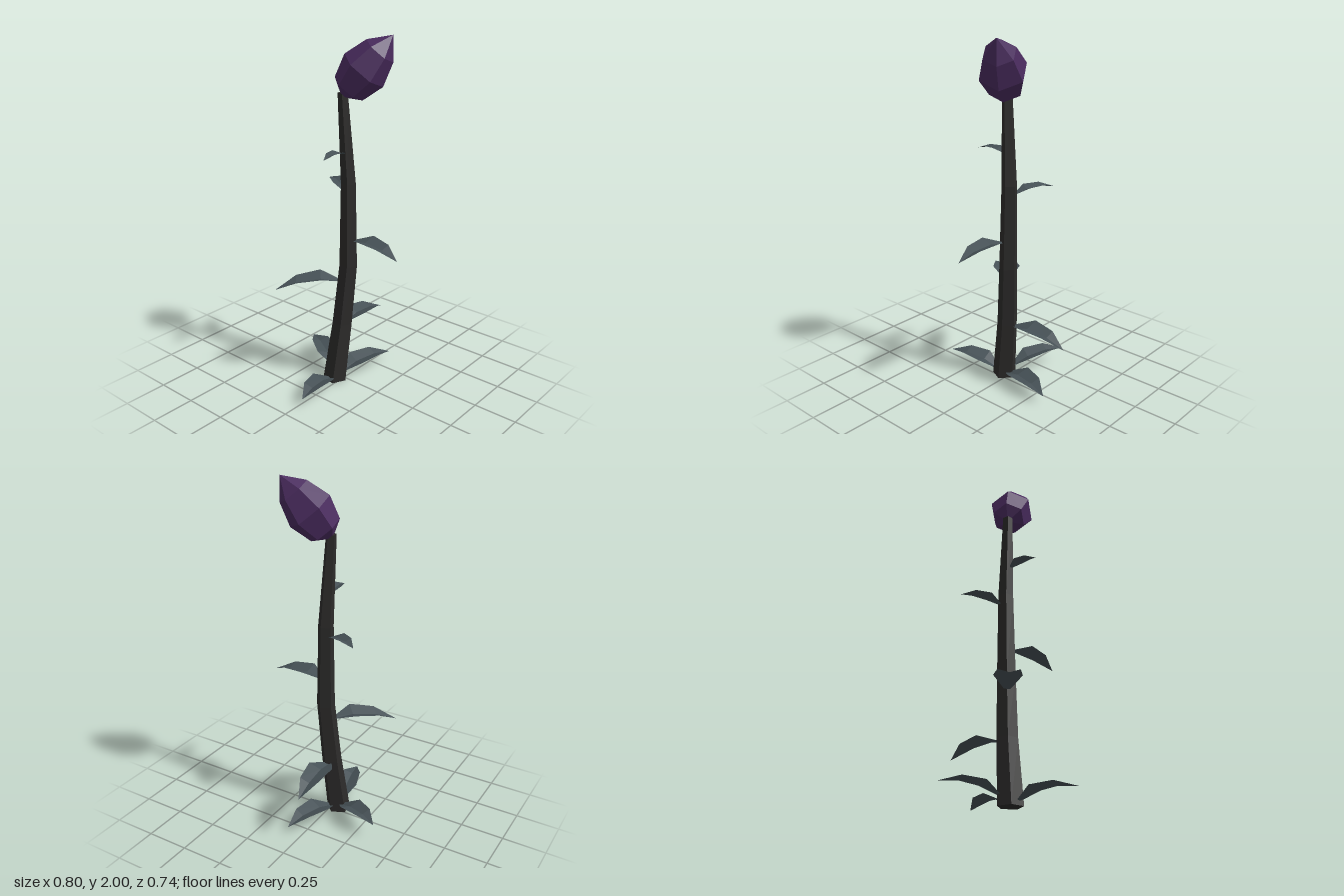
import * as THREE from 'three';

const stemMat = new THREE.MeshStandardMaterial({ color: 0x2c2b2a, flatShading: true });
stemMat.name = 'charcoal stem';
const leafMat = new THREE.MeshStandardMaterial({ color: 0x465156, flatShading: true, side: THREE.DoubleSide });
leafMat.name = 'slate leaf';
const budMat = new THREE.MeshStandardMaterial({ color: 0x4a2c5f, flatShading: true });
budMat.name = 'dark purple bud';

// Five-sided stem, bent and tapered by rows of [x, y, z, radius]
function makeStem() {
  const rows = [
    [-0.035, 0, -0.04, 0.07], [0.008, 0.36, -0.017, 0.059], [0.035, 0.72, 0.005, 0.053],
    [0.038, 1.2, 0.002, 0.044], [0.008, 1.7, -0.014, 0.029],
  ];
  const n = rows.length - 1;
  const geo = new THREE.CylinderGeometry(1, 1, 1, 5, n, false, THREE.MathUtils.degToRad(82));
  const pos = geo.attributes.position;
  for (let i = 0; i < pos.count; i++) {
    const [cx, cy, cz, r] = rows[Math.round((pos.getY(i) + 0.5) * n)];
    pos.setXYZ(i, cx + pos.getX(i) * r, cy, cz + pos.getZ(i) * r);
  }
  geo.computeVertexNormals();
  const mesh = new THREE.Mesh(geo, stemMat);
  mesh.name = 'stem';
  return mesh;
}

// Arched leaf folded along its midrib, from a base point to a tip point
function makeLeaf(base, tip) {
  const a = new THREE.Vector3(...base), b = new THREE.Vector3(...tip);
  const len = Math.hypot(b.x - a.x, b.z - a.z);
  const side = new THREE.Vector3(b.z - a.z, 0, a.x - b.x).normalize();
  // [fraction along, half width, midrib lift, edge lift], relative to length
  const sections = [[0, 0.05, 0, 0.02], [0.29, 0.21, 0.08, 0.15], [0.67, 0.16, 0.08, 0.135], [1, 0, 0, 0]];
  const verts = [], index = [];
  sections.forEach(([t, w, mid, edge], row) => {
    const c = a.clone().lerp(b, t);
    for (const s of [-1, 0, 1]) {
      const p = c.clone().addScaledVector(side, s * w * len);
      verts.push(p.x, p.y + (s ? edge : mid) * len, p.z);
    }
    if (row === 0) return;
    for (let k = 0; k < 2; k++) {
      const p = (row - 1) * 3 + k, q = p + 3;
      if (t < 1) index.push(p, p + 1, q, p + 1, q + 1, q);
      else index.push(p, p + 1, q);
    }
  });
  const geo = new THREE.BufferGeometry();
  geo.setAttribute('position', new THREE.Float32BufferAttribute(verts, 3));
  geo.setIndex(index);
  geo.computeVertexNormals();
  return new THREE.Mesh(geo, leafMat);
}

// Six-sided closed bud leaning forward and to its left
function makeBud() {
  const base = new THREE.Vector3(0.01, 1.69, -0.01);
  const axis = new THREE.Vector3(0.135, 2, 0.21).sub(base);
  const length = axis.length();
  axis.normalize();
  const profile = [[0, 0], [0.03, 0], [0.095, 0.04], [0.131, 0.165], [0.09, 0.295], [0, length]]
    .map(([r, y]) => new THREE.Vector2(r, y));
  const geo = new THREE.LatheGeometry(profile, 6);
  const ridge = new THREE.Vector3(0, 1, 0).addScaledVector(axis, -axis.y).normalize();
  const across = new THREE.Vector3().crossVectors(axis, ridge);
  geo.applyMatrix4(new THREE.Matrix4().makeBasis(across, axis, ridge).setPosition(base));
  const mesh = new THREE.Mesh(geo, budMat);
  mesh.name = 'bud';
  return mesh;
}

export function createModel() {
  const group = new THREE.Group();
  group.name = 'budding plant';
  group.add(makeStem(), makeBud());

  // Leaves from the ground upward: base, tip
  const leaves = [
    [[-0.08, 0.02, -0.03], [-0.4, 0.06, 0.035]],
    [[0.01, 0.03, -0.02], [0.35, 0.05, 0.07]],
    [[0.0, 0.05, -0.08], [0.14, 0.1, -0.37]],
    [[0.05, 0.345, -0.025], [0.4, 0.31, -0.04]],
    [[-0.005, 0.62, -0.03], [-0.26, 0.575, -0.295]],
    [[0.028, 0.87, 0.04], [0.002, 0.845, 0.365]],
    [[0.05, 1.14, -0.03], [0.157, 1.165, -0.235]],
    [[0.0, 1.37, 0.0], [-0.18, 1.375, 0.012]],
  ];
  leaves.forEach(([base, tip], i) => {
    const leaf = makeLeaf(base, tip);
    leaf.name = `leaf${i + 1}`;
    group.add(leaf);
  });
  return group;
}
